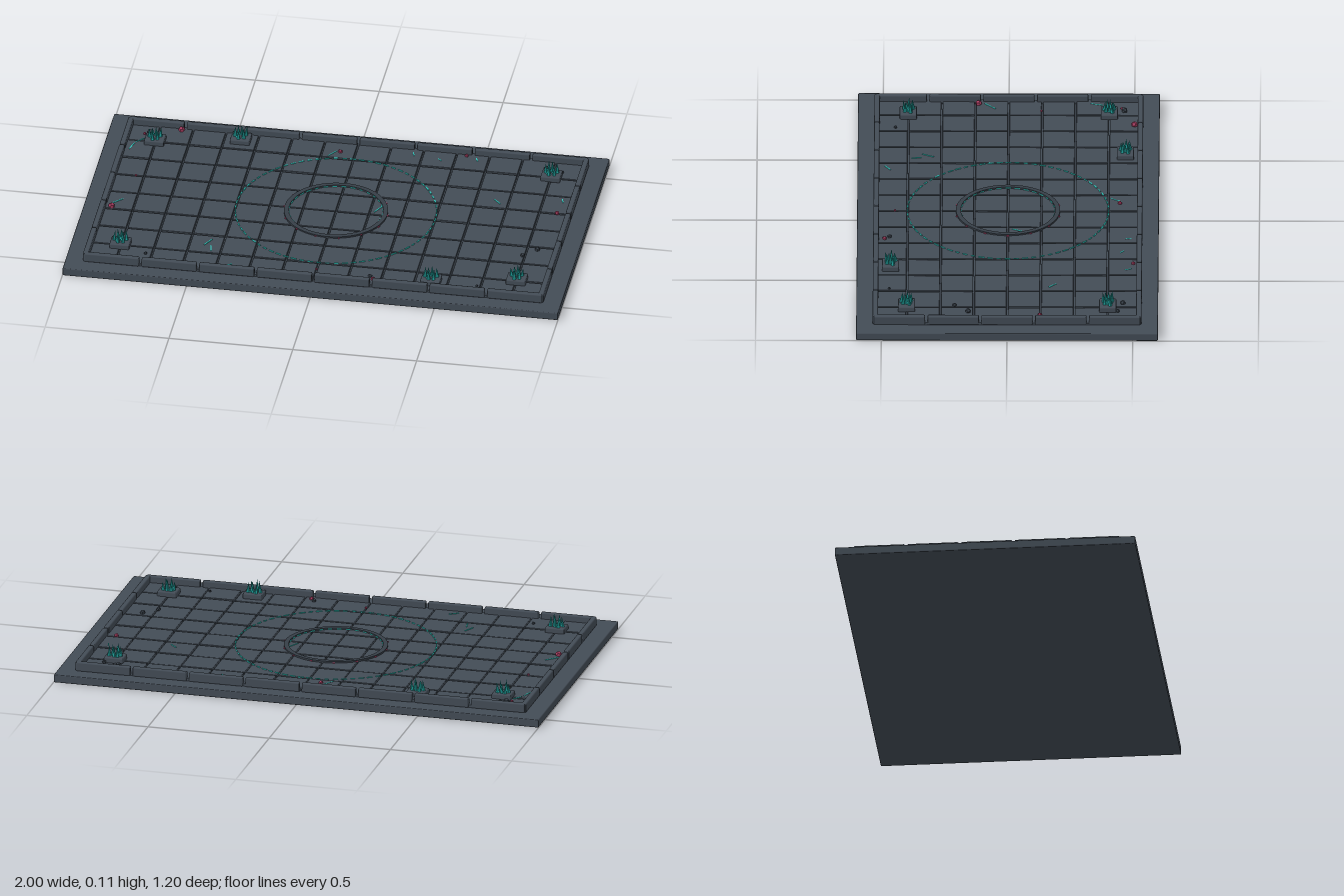
import * as THREE from 'three';
import { RoundedBoxGeometry } from 'three/addons/geometries/RoundedBoxGeometry.js';

const material = (name, color) => {
  const m = new THREE.MeshStandardMaterial({ color });
  m.name = name;
  return m;
};

export function createModel() {
  const model = new THREE.Group();
  model.name = 'arenaFloor';
  const stone = material('slate stone', 0x434c56);
  const dark = material('dark stone', 0x363e47);
  const teal = material('teal crystal', 0x1f9c98);
  const glow = material('cyan glow', 0x2fd0c4);
  const pink = material('magenta shard', 0xa03a5c);
  teal.flatShading = true;

  let seed = 7;
  const rand = () => (seed = (seed * 16807) % 2147483647) / 2147483647;

  function add(parent, name, geometry, mat, x, y, z, ry = 0) {
    const mesh = new THREE.Mesh(geometry, mat);
    mesh.name = name;
    mesh.position.set(x, y, z);
    mesh.rotation.y = ry;
    parent.add(mesh);
    return mesh;
  }
  function group(name) {
    const g = new THREE.Group();
    g.name = name;
    model.add(g);
    return g;
  }

  // Base slab
  add(model, 'baseSlab', new RoundedBoxGeometry(2, 0.033, 1.2, 1, 0.004), stone, 0, 0.0165, 0);

  // Floor tiles, 14 by 8, with slightly uneven heights
  const tiles = group('floorTiles');
  const step = 1.862 / 14;
  const tile = new RoundedBoxGeometry(step - 0.006, 0.016, step - 0.006, 1, 0.003);
  for (let i = 0; i < 14; i++) {
    for (let j = 0; j < 8; j++) {
      const x = (i - 6.5) * step, z = (j - 3.5) * step;
      add(tiles, 'tile', tile, stone, x, 0.034 + rand() * 0.003, z);
    }
  }

  // Raised rim in separate blocks
  const rim = group('rim');
  const W = 0.93, D = 0.535, T = 0.022;
  const longBlock = new RoundedBoxGeometry(2 * W / 8 - 0.01, 0.038, T, 1, 0.005);
  const shortBlock = new RoundedBoxGeometry(T, 0.038, 2 * D / 5 - 0.01, 1, 0.005);
  for (const s of [-1, 1]) {
    for (let i = 0; i < 8; i++) {
      add(rim, 'rimBlock', longBlock, stone, (i - 3.5) * 2 * W / 8, 0.051, s * (D - T / 2));
    }
    for (let i = 0; i < 5; i++) {
      add(rim, 'rimBlock', shortBlock, stone, s * (W - T / 2), 0.051, (i - 2) * 2 * D / 5);
    }
  }

  // Central ring
  const ringShape = new THREE.Shape().absarc(0, 0, 0.207, 0, Math.PI * 2);
  ringShape.holes.push(new THREE.Path().absarc(0, 0, 0.188, 0, Math.PI * 2, true));
  const ringGeometry = new THREE.ExtrudeGeometry(ringShape, { depth: 0.012, bevelEnabled: false, curveSegments: 48 });
  ringGeometry.rotateX(-Math.PI / 2);
  add(model, 'centralRing', ringGeometry, dark, 0, 0.038, 0);

  // Broken glowing circles
  function dashedCircle(name, radius, count, fill, width, y, mat) {
    const g = group(name);
    for (let i = 0; i < count; i++) {
      const a = (i / count) * Math.PI * 2;
      const length = (Math.PI * 2 * radius / count) * fill * (0.7 + rand() * 0.5);
      add(g, 'dash', new THREE.BoxGeometry(width, 0.003, length), mat,
        Math.cos(a) * radius, y, Math.sin(a) * radius, -a);
    }
  }
  dashedCircle('outerCircle', 0.4, 72, 0.62, 0.005, 0.0455, glow);
  dashedCircle('innerCircle', 0.187, 32, 0.5, 0.004, 0.0455, glow);
  dashedCircle('ringMarks', 0.209, 14, 0.1, 0.005, 0.0455, pink);

  // Crystal clusters on square plinths
  const plinth = new RoundedBoxGeometry(0.08, 0.024, 0.068, 1, 0.005);
  const spots = [[-0.8, -0.4], [0.8, -0.4], [-0.8, 0.4], [0.8, 0.4], [-0.465, -0.465], [0.465, 0.465]];
  for (const [x, z] of spots) {
    const g = group('crystalCluster');
    add(g, 'plinth', plinth, stone, x, 0.052, z);
    for (let i = 0; i < 8; i++) {
      const a = i * 2.4, r = 0.009 + 0.021 * Math.sqrt(i / 8);
      const h = 0.035 + 0.017 * rand();
      const c = add(g, 'crystal', new THREE.ConeGeometry(0.007 + rand() * 0.002, h, 5), teal,
        x + Math.cos(a) * r, 0.062 + h / 2, z + Math.sin(a) * r * 0.7, a);
      c.rotation.z = (rand() - 0.5) * 0.3;
    }
  }

  // Glowing cracks: x, z, length, angle from +x
  const cracks = group('glowingCracks');
  const crackList = [
    [-0.885, -0.35, 0.05, 1.3], [-0.86, -0.4, 0.04, 0.9], [-0.87, 0.075, 0.06, 0.8],
    [-0.46, 0.32, 0.05, 1.1], [-0.44, 0.365, 0.04, -1.4], [-0.355, 0.48, 0.04, 0.6],
    [0.62, -0.18, 0.04, -0.8], [0.875, -0.23, 0.025, -1.3], [0.485, -0.48, 0.025, -1.2],
    [0.34, -0.455, 0.02, -0.7], [0.23, -0.48, 0.025, -1.3], [-0.09, -0.43, 0.05, 1],
    [0.165, -0.045, 0.06, 1.1],
  ];
  for (const [x, z, length, angle] of crackList) {
    add(cracks, 'crack', new THREE.BoxGeometry(length, 0.003, 0.004), glow, x, 0.0445, z, angle);
  }

  // Scattered rubble
  const rubble = group('rubble');
  const scatter = (name, mat, list) => list.forEach(([x, z, r]) => {
    add(rubble, name, new THREE.DodecahedronGeometry(r), mat, x, 0.043 + r * 0.5, z, rand() * 3);
  });
  scatter('pebble', dark, [
    [-0.83, -0.46, 0.012], [0.77, -0.46, 0.011], [0.835, -0.44, 0.008], [0.84, 0.155, 0.011],
    [0.79, 0.21, 0.009], [0.22, 0.47, 0.009], [0.65, 0.47, 0.006], [-0.69, 0.45, 0.007],
  ]);
  scatter('shard', pink, [
    [-0.71, -0.5, 0.013], [-0.885, 0.12, 0.013], [0.44, -0.5, 0.008], [-0.06, -0.445, 0.009],
    [0.87, -0.13, 0.009], [0.235, 0.49, 0.009], [0, 0.45, 0.005], [-0.83, -0.13, 0.005],
    [-0.85, -0.45, 0.006],
  ]);
  return model;
}
